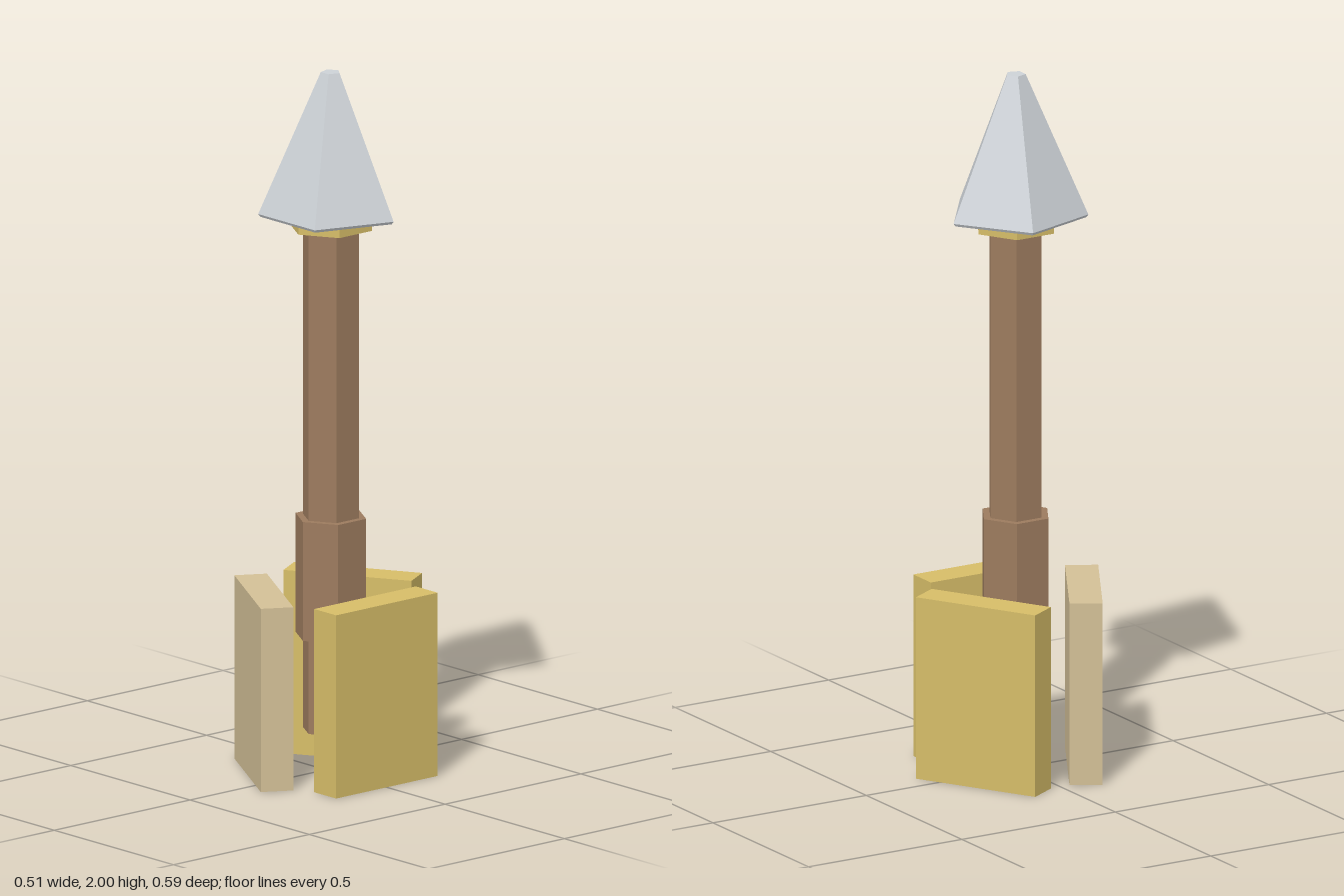
import * as THREE from 'three';

function material(name, color) {
  const m = new THREE.MeshStandardMaterial({ color, flatShading: true });
  m.name = name;
  return m;
}

export function createModel() {
  const wood = material('wood brown', 0x9c7b5e);
  const gold = material('gold', 0xd6bd68);
  const beige = material('beige', 0xd3c097);
  const steel = material('steel grey', 0xcdd2d7);

  const model = new THREE.Group();
  model.name = 'arrow';

  // everything is arranged around one upright axis
  const arrow = new THREE.Group();
  arrow.name = 'arrowBody';
  arrow.position.set(0.02, 0, -0.001);
  model.add(arrow);

  // faceted upright section between two heights
  function section(name, mat, sides, rBottom, rTop, y0, y1) {
    const mesh = new THREE.Mesh(new THREE.CylinderGeometry(rTop, rBottom, y1 - y0, sides), mat);
    mesh.name = name;
    mesh.position.y = (y0 + y1) / 2;
    arrow.add(mesh);
    return mesh;
  }

  // hexagonal shaft, grip sleeve and collar
  section('shaft', wood, 6, 0.082, 0.082, 0.12, 1.56);
  section('gripSleeve', wood, 6, 0.103, 0.103, 0.39, 0.73);
  section('collar', gold, 6, 0.12, 0.12, 1.555, 1.592);

  // five-sided head with a thin bevelled rim, one corner facing the back
  section('head', steel, 5, 0.202, 0.028, 1.598, 2).rotation.y = Math.PI;
  section('headRim', steel, 5, 0.196, 0.202, 1.59, 1.598).rotation.y = Math.PI;

  // three vanes set square to the axis
  const vane = new THREE.BoxGeometry(0.092, 0.524, 0.374);
  [['leftVane', gold], ['frontVane', beige], ['backVane', gold]].forEach(([name, mat], i) => {
    const a = (i * Math.PI * 2) / 3;
    const mesh = new THREE.Mesh(vane, mat);
    mesh.name = name;
    mesh.position.set(0.189 * Math.cos(a), 0.262, 0.189 * Math.sin(a));
    mesh.rotation.y = -a;
    arrow.add(mesh);
  });

  return model;
}
